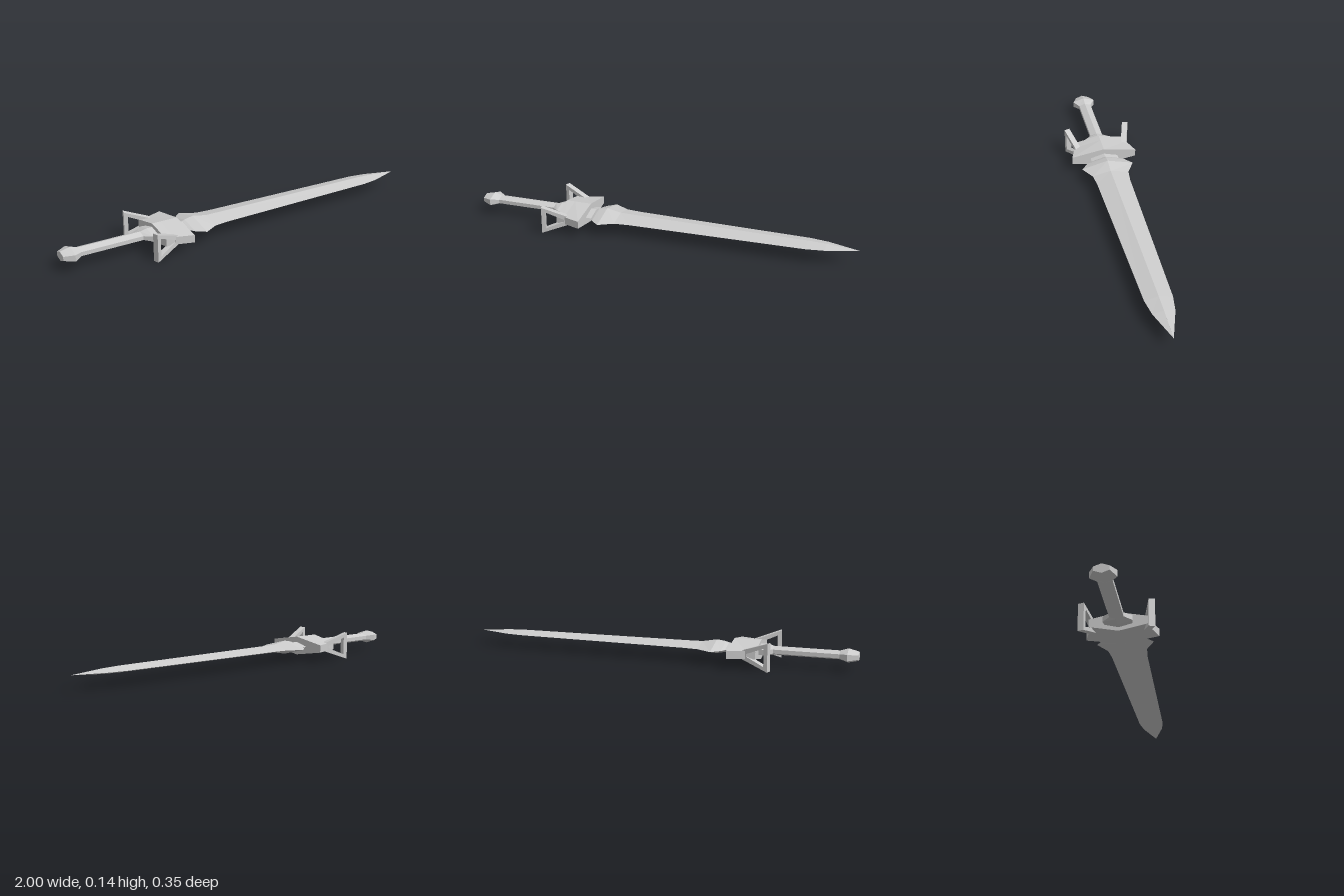
import * as THREE from 'three';

const AXIS_Y = 0.072;

// Faceted solid along x. Each section is [x, half width in z, half height in y];
// side is the share of the height kept at the outer edge (0 gives a diamond).
function loft(sections, side) {
  const outline = side > 0
    ? [[1, 0], [side, 1], [-side, 1], [-1, 0], [-side, -1], [side, -1]]
    : [[1, 0], [0, 1], [-1, 0], [0, -1]];
  const rings = sections.map(([x, hz, hy]) => outline.map(([y, z]) => [x, y * hy, z * hz]));
  const pos = [];
  const tri = (a, b, c) => pos.push(...a, ...b, ...c);
  const n = outline.length;
  for (let r = 0; r < rings.length - 1; r++) {
    for (let i = 0; i < n; i++) {
      const j = (i + 1) % n;
      const a = rings[r][i], b = rings[r][j], c = rings[r + 1][j], d = rings[r + 1][i];
      tri(a, b, c);
      tri(a, c, d);
    }
  }
  const first = rings[0], last = rings[rings.length - 1];
  for (let i = 1; i < n - 1; i++) {
    tri(first[0], first[i + 1], first[i]);
    tri(last[0], last[i], last[i + 1]);
  }
  const geo = new THREE.BufferGeometry();
  geo.setAttribute('position', new THREE.Float32BufferAttribute(pos, 3));
  geo.computeVertexNormals();
  return geo;
}

// Triangular frame with its upright at x = 0 and its apex toward +x
function frameGeometry(depth) {
  const points = (list) => list.map(([x, y]) => new THREE.Vector2(x, y));
  const shape = new THREE.Shape(points([[0, -0.07], [0.165, -0.012], [0.165, 0.012], [0, 0.07]]));
  shape.holes.push(new THREE.Path(points([[0.02, -0.045], [0.02, 0.045], [0.115, 0.006], [0.115, -0.006]])));
  return new THREE.ExtrudeGeometry(shape, { depth, bevelEnabled: false }).translate(0, 0, -depth / 2);
}

export function createModel() {
  const sword = new THREE.Group();
  sword.name = 'sword';
  const steel = new THREE.MeshStandardMaterial({ color: 0xcccccc, flatShading: true });
  steel.name = 'steel grey';

  const add = (name, geo) => {
    const mesh = new THREE.Mesh(geo, steel);
    mesh.name = name;
    mesh.position.y = AXIS_Y;
    sword.add(mesh);
    return mesh;
  };

  // Blade with flared shoulders and a diamond section
  add('blade', loft([
    [-0.42, 0.072, 0.02], [-0.36, 0.075, 0.02], [-0.345, 0.1, 0.026], [-0.3, 0.138, 0.035],
    [-0.225, 0.096, 0.021], [-0.15, 0.088, 0.02], [0.75, 0.067, 0.016],
    [0.84, 0.053, 0.013], [1, 0.0005, 0.0005],
  ], 0));

  // Guard block, wider toward the blade
  add('guard', loft([[-0.525, 0.14, 0.048], [-0.48, 0.143, 0.048], [-0.39, 0.174, 0.048]], 0.4));

  // Grip, flaring into the guard
  add('grip', loft([
    [-0.92, 0.033, 0.022], [-0.59, 0.033, 0.022], [-0.555, 0.07, 0.03], [-0.51, 0.062, 0.03],
  ], 0.45));

  // Pommel
  add('pommel', loft([[-1, 0.035, 0.023], [-0.95, 0.06, 0.035], [-0.91, 0.033, 0.022]], 0.45));

  // Pair of triangular frames behind the guard
  for (const s of [1, -1]) {
    const frame = add(s > 0 ? 'leftFrame' : 'rightFrame', frameGeometry(0.03));
    frame.position.set(-0.595, AXIS_Y - 0.001, s * 0.163);
    frame.rotation.y = s * 0.28;
  }
  return sword;
}
